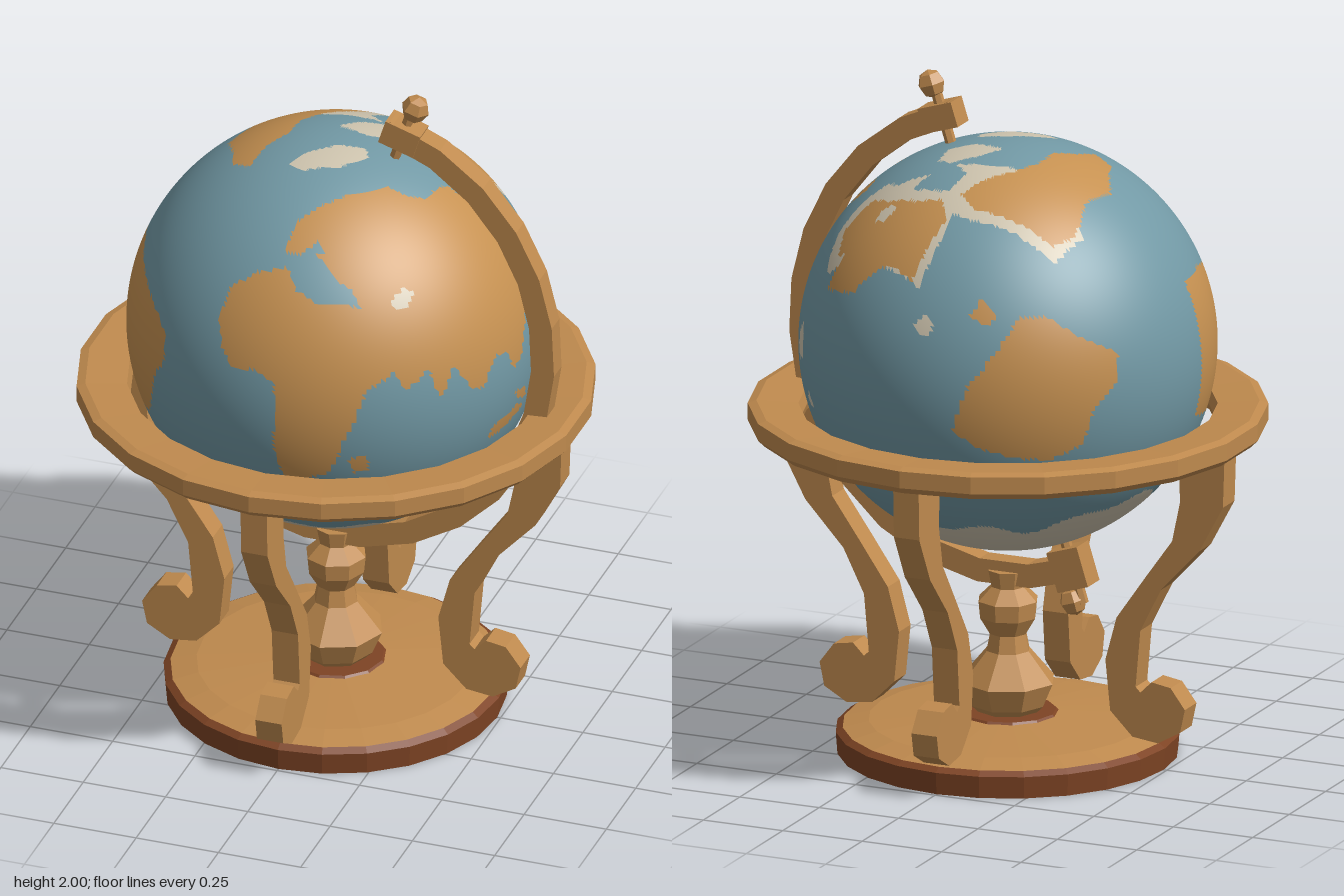
import * as THREE from 'three';

const mat = (name, color, flatShading = false) =>
  Object.assign(new THREE.MeshStandardMaterial({ color }), { name, flatShading });

const GLOBE_Y = 1.22, GLOBE_R = 0.6;
const SEA = 0, LAND = 1, ICE = 2;
const v3 = (x, y, z) => new THREE.Vector3(x, y, z);

// A side the globe is painted from: the right and up directions of its flat outline
const side = (right, up) => ({ right, up, out: right.clone().cross(up) });
const FRONT = side(v3(1, 0, 0), v3(0, 1, 0));
const EAST = side(v3(0, 0, -1), v3(0, 1, 0));
const TOP = side(v3(1, 0, 0), v3(0, 0, -1));
const BACK = side(v3(-0.707, 0, 0.707), v3(0.3, 0.906, 0.3));

// Outlines are flat pairs in hundredths of a unit from the globe's centre; later ones lie on top
function globePatches() {
  const list = [];
  const paint = (from, colour, o) => list.push({ from, colour, o });
  // ice shelves and the northern coast
  paint(TOP, ICE, [-35, 25, -31, 36, -18, 36, -5, 37, 2, 36, 5, 29, 3, 22, 8, 18, -4, 17, -13, 15, -10, 22, -31, 22]);
  paint(TOP, ICE, [1, 42, 4, 52, 18, 47, 40, 36, 41, 27, 35, 22, 28, 20, 20, 27, 8, 29, 1, 30]);
  paint(TOP, ICE, [-2, 7, 3, 13, 10, 17, 15, 15, 15, 8, 8, 5]);
  paint(TOP, ICE, [-9, -15, -6, -10, 2, -4, 10, -2, 12, -6, 6, -13, -4, -17]);
  paint(EAST, ICE, [22, 54, 28, 50, 33, 45, 40, 30, 37, 25, 30, 32, 25, 42]);
  paint(EAST, ICE, [30, 0, 31, 6, 34, 9, 36, 5, 36, 0, 33, -3]);
  paint(EAST, ICE, [36, -12, 38, -10, 39, -14, 37, -15]);
  // western continent
  paint(FRONT, LAND, [-62, 16, -56, 24, -52, 25, -47, 18, -41, 15, -35, 14, -35, 6, -39, -2, -41, -12, -44, -19, -50, -22, -58, -16, -62, 0]);
  paint(BACK, LAND, [40, 4, 46, 6, 50, 12, 60, 18, 62, 0, 51, -6, 43, 0]);
  // southern continent and its island
  paint(FRONT, LAND, [-17, 25, -15, 33, -9, 38, 1, 41, 5, 36, 13, 33, 20, 33, 25, 27, 30, 20, 36, 18, 33, 13, 28, 10, 25, 0,
    22, -6, 20, -13, 17, -18, 9, -21, 4, -20, 2, -10, 3, 2, 2, 11, -4, 14, -11, 13, -15, 18]);
  paint(FRONT, LAND, [23, -13, 28, -11, 28, -17, 24, -18]);
  // eastern continent
  paint(FRONT, LAND, [-1, 44, 0, 50, 5, 53, 12, 55, 20, 55, 30, 51, 36, 47, 45, 38, 52, 28, 55, 20, 48, 12, 46, 4, 44, 8,
    42, 16, 36, 18, 30, 22, 26, 30, 21, 36, 16, 41, 11, 44, 8, 47, 4, 44]);
  paint(EAST, LAND, [-48, 20, -49, 28, -44, 37, -40, 44, -30, 49, -18, 50, -5, 51, 1, 50, 3, 40, 2, 28, 0, 18, -5, 10,
    -9, 3, -13, 2, -15, 8, -20, 10, -26, 2, -30, 3, -33, 10, -37, 16, -42, 12, -46, 8]);
  paint(EAST, LAND, [-20, -14, -8, -12, -4, -15, -15, -18, -21, -18]);
  paint(EAST, LAND, [-12, -6, -5, -8, -3, -12, -9, -10]);
  // northern continents
  paint(TOP, LAND, [-33, 27, -29, 33, -20, 33, -5, 34, 1, 30, -3, 24, -10, 17, -14, 10, -15, 0, -19, -6, -21, -15,
    -27, -12, -30, -4, -34, 4, -31, 15, -33, 21]);
  paint(TOP, LAND, [2, 38, 7, 51, 18, 46, 28, 41, 37, 36, 38, 29, 31, 25, 24, 29, 14, 32, 6, 32]);
  paint(TOP, LAND, [37, 12, 40, 15, 44, 12, 42, 8, 38, 7]);
  paint(EAST, LAND, [36, 38, 42, 42, 47, 34, 48, 24, 41, 22, 39, 28]);
  paint(EAST, LAND, [7, 43, 10, 46, 15, 44, 13, 40]);
  // ocean continent and islands at the back
  paint(BACK, LAND, [-22, -8, -16, -1, -8, -2, 1, -9, 12, -14, 12, -21, 4, -29, 1, -38, -8, -41, -19, -39, -28, -35, -35, -29, -32, -19]);
  paint(BACK, LAND, [-29, 2, -25, 6, -22, 1, -25, -2]);
  paint(BACK, ICE, [-43, 1, -40, 5, -38, 1, -40, -2]);
  // inland seas and ice
  paint(FRONT, SEA, [3, 41, 6, 45, 13, 40, 20, 37, 24, 32, 20, 33, 13, 34, 8, 37]);
  paint(FRONT, ICE, [31, 33, 33, 36, 36, 34, 35, 31, 32, 31]);
  paint(TOP, ICE, [20, 33, 23, 36, 26, 34, 25, 31, 21, 31]);
  return list;
}

function inside(o, x, y) {
  let hit = false;
  for (let i = 0, j = o.length - 2; i < o.length; j = i, i += 2) {
    if (o[i + 1] > y !== o[j + 1] > y &&
      x < ((o[j] - o[i]) * (y - o[i + 1])) / (o[j + 1] - o[i + 1]) + o[i]) hit = !hit;
  }
  return hit;
}

// Sphere whose faces are sorted into sea, land and ice
function globeGeometry() {
  const geo = new THREE.SphereGeometry(GLOBE_R, 256, 128);
  const pos = geo.attributes.position, idx = geo.index.array;
  const patches = globePatches(), faces = [[], [], []];
  const polar = v3(-0.15, -0.989, 0), c = v3(), p = v3();
  for (let i = 0; i < idx.length; i += 3) {
    c.set(0, 0, 0);
    for (let k = 0; k < 3; k++) c.add(p.fromBufferAttribute(pos, idx[i + k]));
    c.multiplyScalar(100 / 3);
    let colour = SEA;
    for (const { from, colour: paint, o } of patches) {
      if (c.dot(from.out) > 2 && inside(o, c.dot(from.right), c.dot(from.up))) colour = paint;
    }
    // southern ice cap with a wavy coast
    const a = Math.atan2(c.z, c.x);
    if (c.dot(polar) / 60 > 0.76 + 0.03 * Math.sin(5 * a) + 0.02 * Math.sin(11 * a)) colour = ICE;
    faces[colour].push(idx[i], idx[i + 1], idx[i + 2]);
  }
  geo.setIndex(faces.flat());
  geo.clearGroups();
  let start = 0;
  faces.forEach((f, k) => { geo.addGroup(start, f.length, k); start += f.length; });
  return geo;
}

const lathe = (pts, n) => new THREE.LatheGeometry(pts.map(([x, y]) => new THREE.Vector2(x, y)), n);

// Flat outline in x and y, given a thickness centred on z = 0
function plank(pts, depth) {
  const shape = new THREE.Shape(pts.map(([x, y]) => new THREE.Vector2(x, y)));
  return new THREE.ExtrudeGeometry(shape, { depth, bevelEnabled: false }).translate(0, 0, -depth / 2);
}

export function createModel() {
  const model = new THREE.Group();
  model.name = 'globeOnStand';
  const wood = mat('wood', 0xbf8a4e, true);
  const darkWood = mat('darkWood', 0x7e4424, true);
  const paints = [mat('sea', 0x7299a5), mat('land', 0xc69151), mat('ice', 0xcfc5af)];
  const add = (name, geo, material, x = 0, y = 0, z = 0, parent = model) => {
    const m = new THREE.Mesh(geo, material);
    m.name = name;
    m.position.set(x, y, z);
    parent.add(m);
    return m;
  };

  add('globe', globeGeometry(), paints, 0, GLOBE_Y);

  // Base
  add('base', lathe([[0, 0], [0.49, 0], [0.495, 0.065], [0.475, 0.078]], 24), darkWood);
  add('baseTop', lathe([[0.475, 0.078], [0.4, 0.095], [0.14, 0.115], [0, 0.118]], 24), wood);
  add('baseInlay', lathe([[0.15, 0.11], [0.14, 0.121], [0, 0.123]], 12), darkWood);

  // Turned centre column
  add('column', lathe([[0.08, 0.11], [0.11, 0.14], [0.14, 0.21], [0.065, 0.3], [0.055, 0.35], [0.085, 0.4],
    [0.09, 0.45], [0.05, 0.49], [0.06, 0.54], [0, 0.54]], 8), wood);

  // Horizon ring
  add('ring', lathe([[0.6, 0.965], [0.725, 0.965], [0.745, 0.985], [0.745, 1.035], [0.72, 1.043],
    [0.6, 1.035], [0.59, 1], [0.6, 0.965]], 22), wood);

  // Four scrolled legs
  const legGeo = plank([[0.7, 0.97], [0.695, 0.82], [0.62, 0.68], [0.5, 0.55], [0.435, 0.42], [0.42, 0.25],
    [0.435, 0.235], [0.47, 0.27], [0.53, 0.26], [0.575, 0.2], [0.56, 0.13], [0.49, 0.09], [0.41, 0.1],
    [0.34, 0.17], [0.325, 0.32], [0.36, 0.45], [0.45, 0.58], [0.535, 0.7], [0.56, 0.82], [0.555, 0.97]], 0.08);
  for (let i = 0; i < 4; i++) add('leg', legGeo, wood).rotation.y = (i * Math.PI) / 2;

  // Half-circle arm holding the globe, widening towards its ends
  const arc = (offset) => Array.from({ length: 15 }, (_, i) => {
    const a = THREE.MathUtils.degToRad(76 - (i / 14) * 186);
    const r = 0.64 + 0.05 * Math.sin(a) ** 2 + offset;
    return [r * Math.cos(a), GLOBE_Y + r * Math.sin(a)];
  });
  add('arm', plank([...arc(0.035), ...arc(-0.035).reverse()], 0.065), wood);

  // Tilted axle with end blocks and knobs
  const axle = new THREE.Group();
  axle.name = 'axle';
  axle.position.y = GLOBE_Y;
  axle.rotation.z = -0.305;
  model.add(axle);
  add('topBlock', new THREE.BoxGeometry(0.11, 0.075, 0.075), wood, 0, 0.682, 0, axle);
  add('bottomBlock', new THREE.BoxGeometry(0.1, 0.12, 0.08), wood, 0, -0.68, 0, axle);
  for (const s of [1, -1]) {
    add('pin', new THREE.CylinderGeometry(0.016, 0.016, 0.2, 6), wood, 0, s * 0.69, 0, axle);
    add('knob', new THREE.SphereGeometry(0.042, 6, 4), wood, s > 0 ? 0.008 : 0.03, s * 0.778, 0, axle);
  }
  return model;
}
